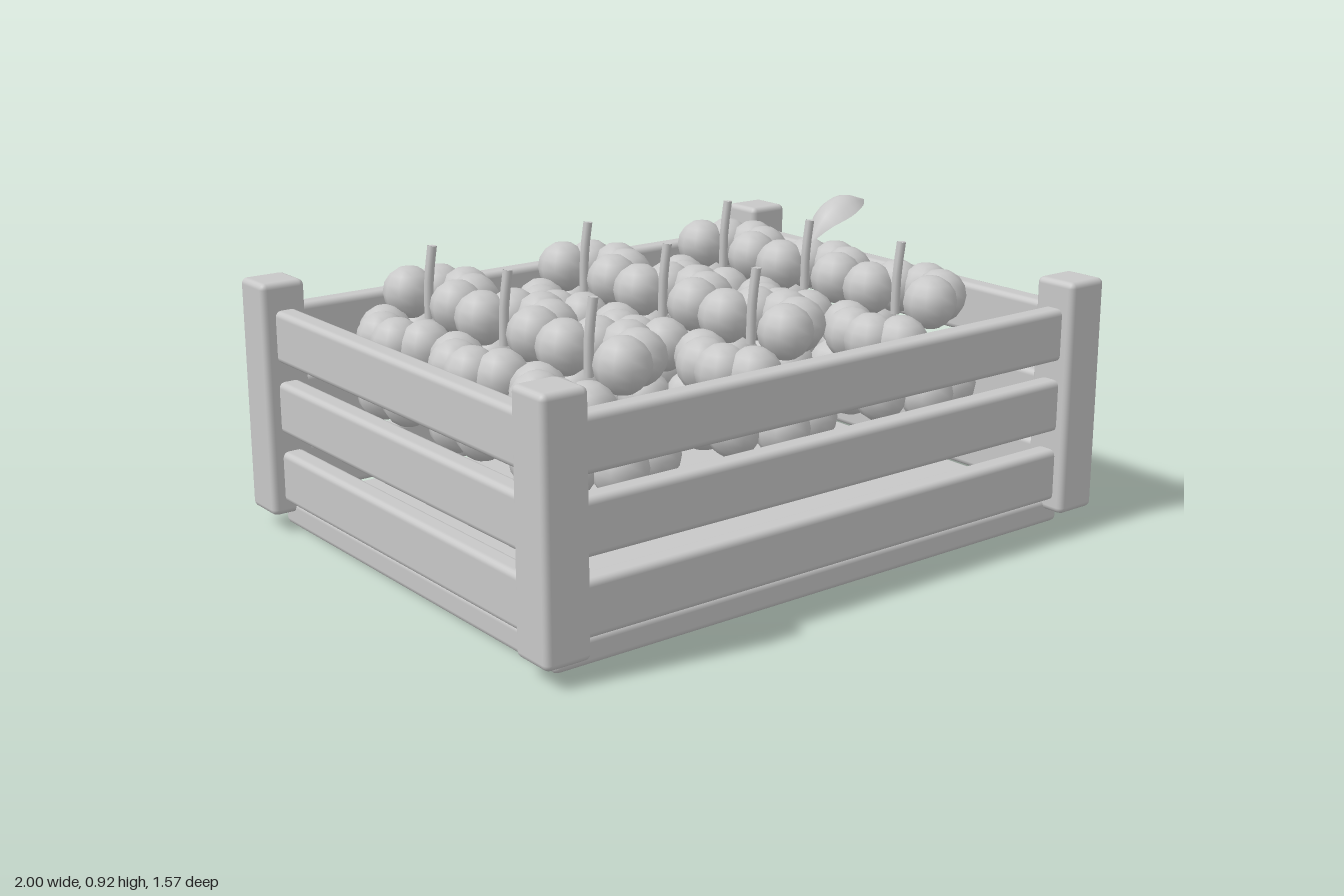
import * as THREE from 'three';
import { RoundedBoxGeometry } from 'three/addons/geometries/RoundedBoxGeometry.js';

export function createModel() {
  const model = new THREE.Group();
  const grey = new THREE.MeshStandardMaterial({ color: 0xc8c8c8, side: THREE.DoubleSide });
  grey.name = 'plain grey';

  const add = (parent, name, geometry, x = 0, y = 0, z = 0) => {
    const mesh = new THREE.Mesh(geometry, grey);
    mesh.name = name;
    mesh.position.set(x, y, z);
    parent.add(mesh);
    return mesh;
  };

  // Crate: floor, corner posts and three slats on every side
  const crate = new THREE.Group();
  crate.name = 'crate';
  model.add(crate);
  add(crate, 'floor', new RoundedBoxGeometry(1.855, 0.08, 1.43, 2, 0.018), 0, 0.04, 0);
  const post = new RoundedBoxGeometry(0.14, 0.71, 0.14, 2, 0.018);
  const longSlat = new RoundedBoxGeometry(1.76, 0.157, 0.07, 2, 0.018);
  const shortSlat = new RoundedBoxGeometry(0.07, 0.157, 1.34, 2, 0.018);
  for (const side of [-1, 1]) {
    for (const end of [-1, 1]) add(crate, 'cornerPost', post, side * 0.93, 0.405, end * 0.715);
    for (const y of [0.167, 0.382, 0.598]) {
      add(crate, 'longSlat', longSlat, 0, y, side * 0.715);
      add(crate, 'shortSlat', shortSlat, side * 0.925, y, 0);
    }
  }

  // Berries of a bunch: [height, ring radius, angles from +x towards +z]
  const tiers = [
    [0.695, 0.122, [-92, -48, -3, 42, 85]],
    [0.59, 0.15, [130, 165, 198, 232]],
    [0.555, 0.16, [-72]],
    [0.43, 0.16, [-2, 47, 100, 150, 190, 235, 300]],
  ];
  const berry = new THREE.SphereGeometry(0.08, 10, 8);

  // Slightly bent stem
  const stem = new THREE.TubeGeometry(new THREE.CatmullRomCurve3([
    new THREE.Vector3(-0.012, 0.64, 0),
    new THREE.Vector3(-0.008, 0.76, 0),
    new THREE.Vector3(0.006, 0.855, 0),
  ]), 4, 0.014, 6);
  const stemTop = new THREE.CircleGeometry(0.014, 6).rotateX(-Math.PI / 2);

  const bunches = [];
  for (const z of [-0.43, -0.03, 0.375]) {
    for (const x of [-0.56, 0, 0.56]) {
      const bunch = new THREE.Group();
      bunch.name = 'fruitBunch';
      bunch.position.set(x, 0, z);
      for (const [y, r, angles] of tiers) {
        for (const degrees of angles) {
          const a = THREE.MathUtils.degToRad(degrees);
          add(bunch, 'berry', berry, r * Math.cos(a), y, r * Math.sin(a));
        }
      }
      add(bunch, 'stem', stem);
      add(bunch, 'stemTop', stemTop, 0.006, 0.855, 0);
      model.add(bunch);
      bunches.push(bunch);
    }
  }

  // Arched leaf with drooping edges on one bunch
  const spine = new THREE.CatmullRomCurve3([
    new THREE.Vector3(0.005, 0.775, 0),
    new THREE.Vector3(0.06, 0.875, 0),
    new THREE.Vector3(0.14, 0.918, 0),
    new THREE.Vector3(0.235, 0.895, 0),
  ]);
  const leaf = new THREE.PlaneGeometry(1, 2, 10, 6);
  const p = leaf.attributes.position;
  for (let i = 0; i < p.count; i++) {
    const t = p.getX(i) + 0.5;
    const across = -p.getY(i);
    const c = spine.getPoint(t);
    const bulge = Math.sin(Math.PI * Math.pow(t, 1.15));
    p.setXYZ(i, c.x + 0.012 * bulge * across * across,
      c.y - 0.04 * bulge * across * across,
      0.075 * bulge * across);
  }
  leaf.computeVertexNormals();
  add(bunches[5], 'leaf', leaf);

  return model;
}
